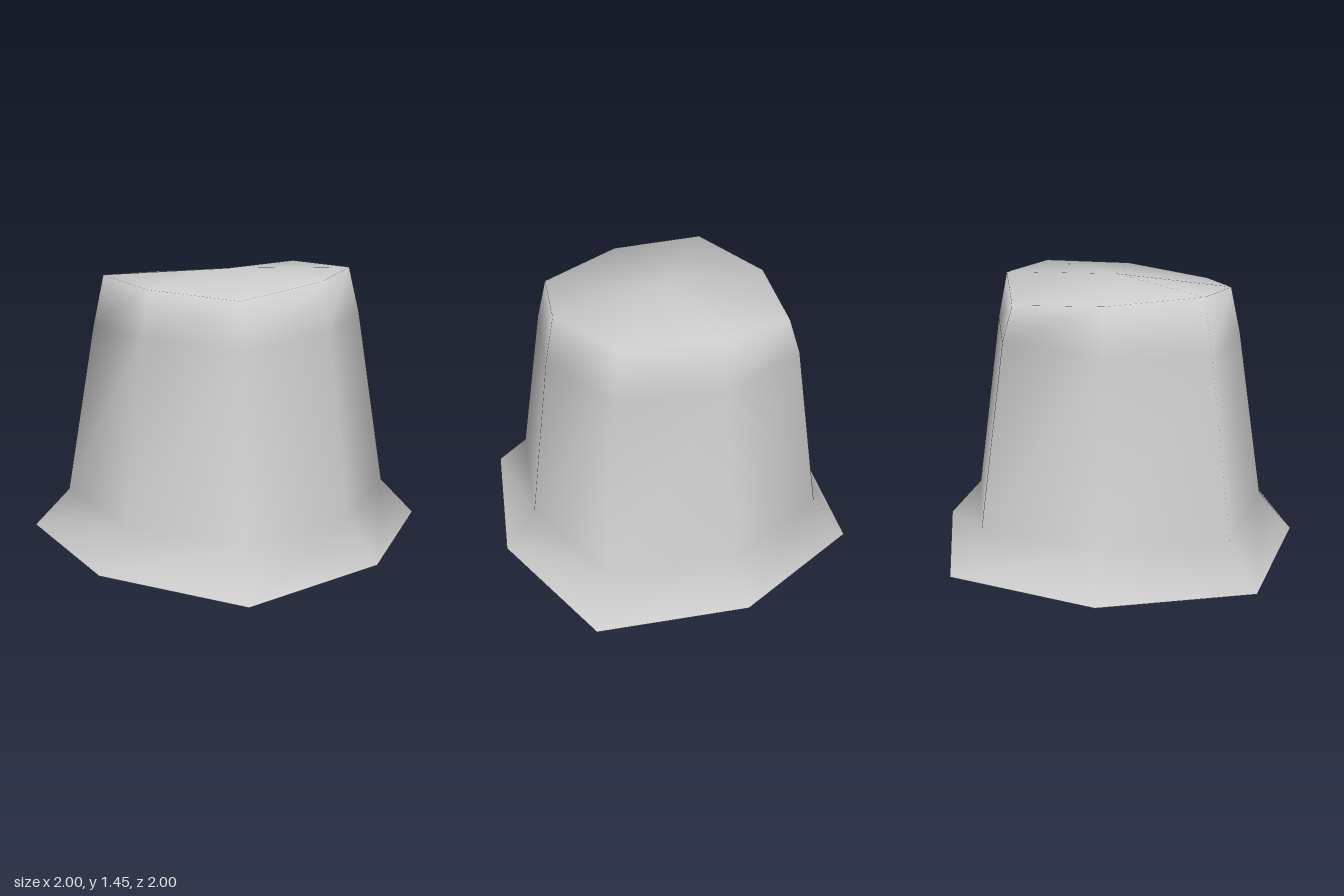
import * as THREE from 'three';

// Eight columns around the body, starting at +x and turning towards +z.
const SIDES = 8;

// Each ring: radius on the axes, x/z offset on the diagonals, height per column.
const rings = [
  { axis: 1.0, diag: 0.78, y: Array(SIDES).fill(0) },
  { axis: 0.815, diag: 0.64, y: Array(SIDES).fill(0.21) },
  { axis: 0.665, diag: 0.52, y: [1.2, 1.2, 1.17, 1.13, 1.15, 1.14, 1.15, 1.18] },
  { axis: 0.61, diag: 0.475, y: [1.45, 1.45, 1.42, 1.36, 1.39, 1.42, 1.39, 1.36] },
];

function buildShell() {
  const positions = [];
  const index = [];

  for (const ring of rings) {
    for (let i = 0; i < SIDES; i++) {
      const a = (i / SIDES) * Math.PI * 2;
      const r = i % 2 ? ring.diag * Math.SQRT2 : ring.axis;
      positions.push(r * Math.cos(a), ring.y[i], r * Math.sin(a));
    }
  }

  // Flared brim and tapered walls, open underneath
  for (let k = 0; k < rings.length - 1; k++) {
    for (let i = 0; i < SIDES; i++) {
      const j = (i + 1) % SIDES;
      const a = k * SIDES + i, b = k * SIDES + j;
      const c = a + SIDES, d = b + SIDES;
      index.push(a, c, b, b, c, d);
    }
  }

  // Uneven crown, fanned from its centre
  const top = (rings.length - 1) * SIDES;
  const centre = positions.length / 3;
  positions.push(0, 1.45, 0);
  for (let i = 0; i < SIDES; i++) {
    index.push(centre, top + ((i + 1) % SIDES), top + i);
  }

  const geometry = new THREE.BufferGeometry();
  geometry.setAttribute('position', new THREE.Float32BufferAttribute(positions, 3));
  geometry.setIndex(index);
  geometry.computeVertexNormals();
  return geometry;
}

export function createModel() {
  const group = new THREE.Group();
  group.name = 'flaredCap';

  const lightGrey = new THREE.MeshStandardMaterial({ color: 0xcccccc, side: THREE.DoubleSide });
  lightGrey.name = 'light grey';

  const shell = new THREE.Mesh(buildShell(), lightGrey);
  shell.name = 'shell';
  group.add(shell);
  return group;
}
